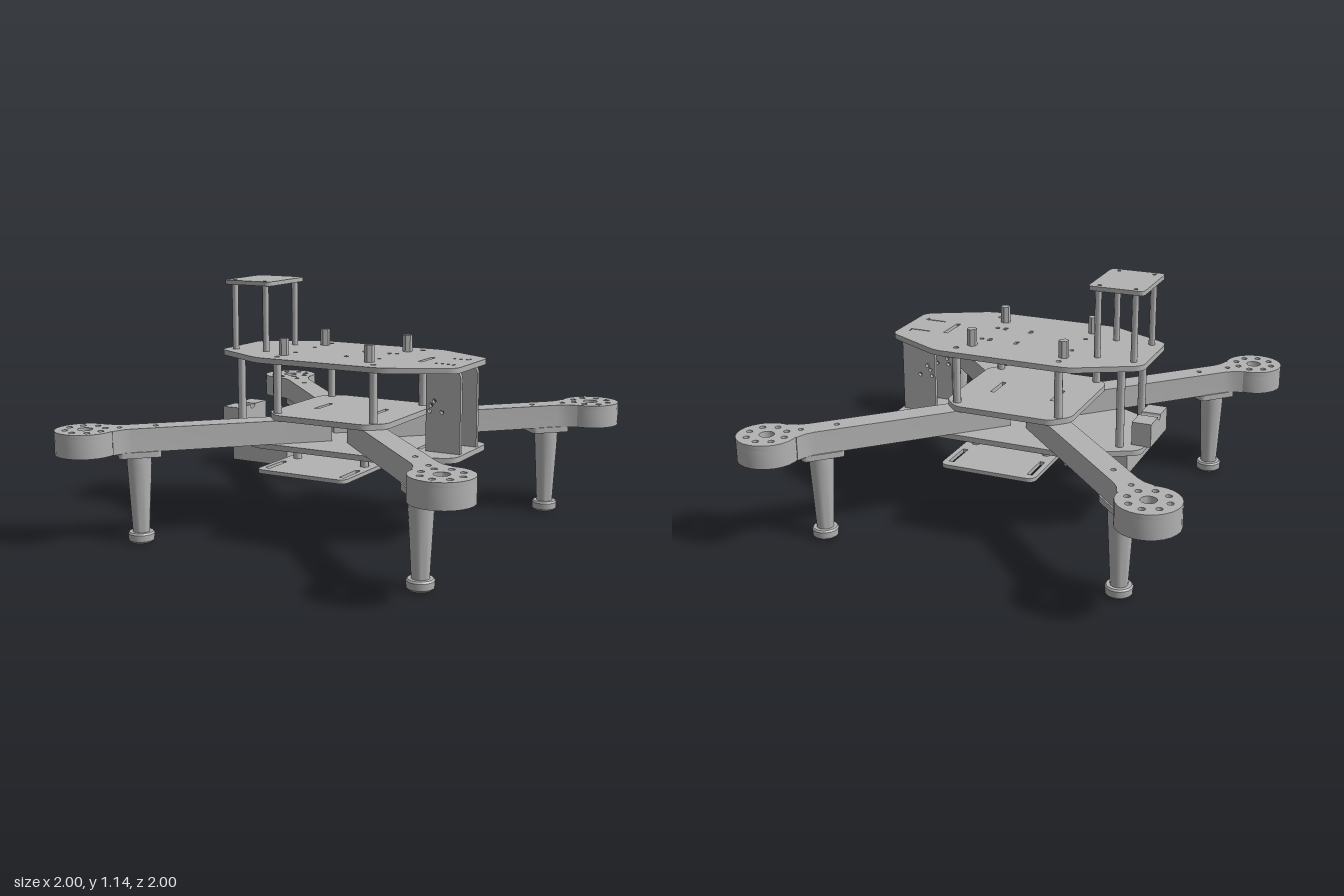
import * as THREE from 'three';
import { toCreasedNormals } from 'three/addons/utils/BufferGeometryUtils.js';

const frameGrey = new THREE.MeshStandardMaterial({ color: 0xb2b2b2 });
frameGrey.name = 'frameGrey';

function add(parent, name, geometry, x = 0, y = 0, z = 0) {
  const mesh = new THREE.Mesh(toCreasedNormals(geometry, 0.6), frameGrey);
  mesh.name = name;
  mesh.position.set(x, y, z);
  parent.add(mesh);
  return mesh;
}

// Closed outline with rounded corners
function outline(points, r) {
  const shape = new THREE.Shape();
  const n = points.length;
  points.forEach((p, i) => {
    const c = new THREE.Vector2(...p);
    const a = new THREE.Vector2(...points[(i + n - 1) % n]).sub(c).setLength(r).add(c);
    const b = new THREE.Vector2(...points[(i + 1) % n]).sub(c).setLength(r).add(c);
    if (i) shape.lineTo(a.x, a.y); else shape.moveTo(a.x, a.y);
    shape.quadraticCurveTo(c.x, c.y, b.x, b.y);
  });
  shape.closePath();
  return shape;
}

const rect = (w, d, r, cx = 0, cz = 0) => outline(
  [[cx - w, cz - d], [cx + w, cz - d], [cx + w, cz + d], [cx - w, cz + d]], r);

function hole(shape, x, z, r) {
  shape.holes.push(new THREE.Path().absarc(x, z, r, 0, Math.PI * 2, true));
}

function slot(shape, x, z, w, d) {
  shape.holes.push(new THREE.Path([
    [x - w, z - d], [x - w, z + d], [x + w, z + d], [x + w, z - d], [x - w, z - d],
  ].map((p) => new THREE.Vector2(...p))));
}

// Horizontal plate: shape is read as (x, z)
function plate(shape, bottom, top) {
  return new THREE.ExtrudeGeometry(shape, { depth: top - bottom, bevelEnabled: false, curveSegments: 12 })
    .rotateX(Math.PI / 2).translate(0, top, 0);
}

function post(parent, name, x, z, bottom, top, r, sides = 12) {
  add(parent, name, new THREE.CylinderGeometry(r, r, top - bottom, sides), x, (top + bottom) / 2, z);
}

const deckOutline = () => outline([
  [-0.61, -0.17], [-0.32, -0.32], [0.32, -0.32], [0.61, -0.17],
  [0.61, 0.17], [0.32, 0.32], [-0.32, 0.32], [-0.61, 0.17],
], 0.04);

// Arm with motor cup and landing leg, built along +x
function makeArm() {
  const arm = new THREE.Group();
  const m = 1.223;
  const bar = new THREE.Shape([
    [0.11, -0.055], [m - 0.2, -0.055], [m - 0.155, -0.062], [m - 0.11, -0.085],
    [m - 0.11, 0.085], [m - 0.155, 0.062], [m - 0.2, 0.055], [0.11, 0.055],
  ].map((p) => new THREE.Vector2(...p)));
  hole(bar, 0.912, 0, 0.012);
  hole(bar, m - 0.15, 0, 0.012);
  add(arm, 'armBar', plate(bar, 0.422, 0.53));

  const disc = new THREE.Shape().absarc(m, 0, 0.135, 0, Math.PI * 2, false);
  hole(disc, m, 0, 0.034);
  for (let i = 0; i < 8; i++) {
    const a = (i * Math.PI) / 4 + Math.PI / 4;
    hole(disc, m + 0.088 * Math.cos(a), 0.088 * Math.sin(a), 0.014);
  }
  add(arm, 'motorMountTop', plate(disc, 0.508, 0.53));
  for (const [name, outer, inner, bottom] of [['motorMountWall', 0.135, 0.113, 0.422], ['motorMountBoss', 0.05, 0.034, 0.49]]) {
    const ring = new THREE.Shape().absarc(m, 0, outer, 0, Math.PI * 2, false);
    hole(ring, m, 0, inner);
    add(arm, name, plate(ring, bottom, 0.51));
  }

  const flange = rect(0.095, 0.062, 0.025, 0.99);
  for (const s of [-1, 1]) for (const t of [-1, 1]) hole(flange, 0.99 + s * 0.073, t * 0.04, 0.01);
  add(arm, 'legFlange', plate(flange, 0.397, 0.424));
  const leg = [[0, 0], [0.048, 0], [0.058, 0.01], [0.06, 0.04], [0.054, 0.048], [0.038, 0.048],
    [0.055, 0.36], [0.055, 0.4], [0, 0.4]].map((p) => new THREE.Vector2(...p));
  add(arm, 'landingLeg', new THREE.LatheGeometry(leg, 24), 0.99);
  return arm;
}

export function createModel() {
  const model = new THREE.Group();
  model.name = 'quadcopterFrame';

  // Four arms
  for (let i = 0; i < 4; i++) {
    const arm = makeArm();
    arm.name = 'arm' + (i + 1);
    arm.rotation.y = Math.PI / 4 + (i * Math.PI) / 2;
    model.add(arm);
  }

  // Upper and lower decks
  const top = deckOutline();
  slot(top, 0.385, 0, 0.01, 0.072);
  for (const s of [-1, 1]) {
    hole(top, -0.25, s * 0.25, 0.012);
    hole(top, 0.245, s * 0.25, 0.012);
    hole(top, -0.25, s * 0.088, 0.01);
    for (const x of [0.02, 0.15]) slot(top, x, s * 0.088, 0.009, 0.015);
    hole(top, 0.19, s * 0.088, 0.01);
    slot(top, 0.51, s * 0.08, 0.05, 0.003);
    slot(top, 0.555, s * 0.095, 0.003, 0.01);
  }
  add(model, 'upperDeck', plate(top, 0.792, 0.817));
  const low = deckOutline();
  slot(low, 0.385, 0, 0.01, 0.072);
  add(model, 'lowerDeck', plate(low, 0.397, 0.422));

  // Middle plate clamping the arms
  const mid = outline([
    [-0.305, -0.23], [-0.23, -0.305], [0.23, -0.305], [0.305, -0.23],
    [0.305, 0.23], [0.23, 0.305], [-0.23, 0.305], [-0.305, 0.23],
  ], 0.03);
  for (const s of [-1, 1]) slot(mid, s * 0.15, 0, 0.01, 0.07);
  add(model, 'middlePlate', plate(mid, 0.53, 0.556));

  // Battery tray with strap slots
  const tray = rect(0.226, 0.478, 0.04);
  for (const s of [-1, 1]) for (const t of [-1, 1]) slot(tray, s * 0.19, t * 0.36, 0.012, 0.075);
  add(model, 'batteryTray', plate(tray, 0.325, 0.343));

  // Tower platform
  const platform = rect(0.127, 0.158, 0.025, -0.472);
  for (const s of [-1, 1]) for (const t of [-1, 1]) hole(platform, -0.472 + s * 0.082, t * 0.13, 0.009);
  add(model, 'towerPlatform', plate(platform, 1.124, 1.144));

  // Standoffs
  for (const s of [-1, 1]) {
    for (const x of [-0.25, 0.245]) post(model, 'deckStandoff', x, s * 0.25, 0.55, 0.795, 0.019);
    post(model, 'rearStandoff', -0.507, s * 0.155, 0.42, 0.795, 0.019);
    for (const x of [-0.25, 0.193]) post(model, 'topSpacer', x, s * 0.19, 0.815, 0.895, 0.023, 6);
    for (const x of [-0.554, -0.385]) post(model, 'towerPost', x, s * 0.13, 0.815, 1.126, 0.015);
    for (const x of [-0.175, 0.175]) post(model, 'trayStandoff', x, s * 0.2, 0.34, 0.4, 0.02);

    // Upright side panels
    const panel = new THREE.Shape();
    panel.moveTo(0.43, 0.42);
    panel.lineTo(0.597, 0.42);
    panel.lineTo(0.597, 0.75);
    panel.quadraticCurveTo(0.597, 0.793, 0.565, 0.793);
    panel.lineTo(0.43, 0.793);
    panel.closePath();
    for (const [x, y] of [[0.47, 0.652], [0.455, 0.632], [0.447, 0.604], [0.508, 0.604]]) hole(panel, x, y, 0.009);
    add(model, 'sidePanel', new THREE.ExtrudeGeometry(panel, { depth: 0.02, bevelEnabled: false }), 0, 0, s * 0.09 - 0.01);
  }

  // Equipment box under the lower deck
  add(model, 'equipmentBox', new THREE.BoxGeometry(0.3, 0.11, 0.344), -0.4, 0.345, 0);

  // Notched end block on the lower deck
  const block = new THREE.Shape();
  block.moveTo(-0.12, 0.42);
  block.lineTo(0.12, 0.42);
  block.lineTo(0.12, 0.53);
  block.lineTo(0.02, 0.53);
  block.absarc(0, 0.53, 0.02, 0, Math.PI, true);
  block.lineTo(-0.12, 0.53);
  block.closePath();
  add(model, 'endBlock', new THREE.ExtrudeGeometry(block, { depth: 0.09, bevelEnabled: false })
    .rotateY(Math.PI / 2), -0.64);

  return model;
}
